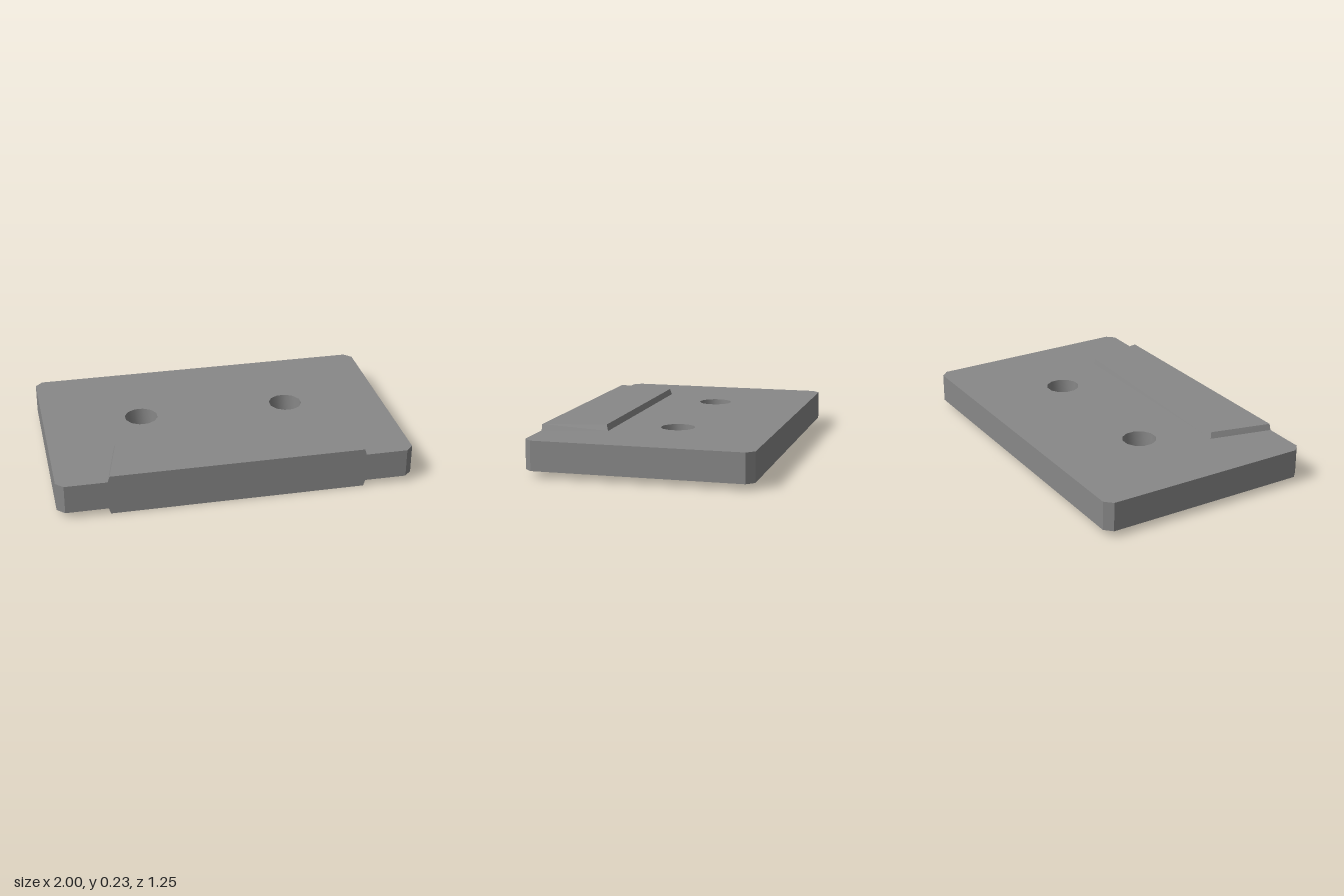
import * as THREE from 'three';
import { toCreasedNormals } from 'three/addons/utils/BufferGeometryUtils.js';
import { ConvexGeometry } from 'three/addons/geometries/ConvexGeometry.js';

const DEPTH = 0.623;      // half depth of the plate
const MID = 0.116;        // height of the symmetry plane
const HALF_PLATE = 0.082; // half thickness of the plate
const CHAMFER = 0.042;

export function createModel() {
  const group = new THREE.Group();
  const material = new THREE.MeshStandardMaterial({ color: 0x888888 });
  const add = (name, geometry) => {
    const mesh = new THREE.Mesh(geometry, material);
    mesh.name = name;
    group.add(mesh);
  };

  // Plate outline with clipped corners
  const a = 1 - CHAMFER, b = DEPTH - CHAMFER;
  const outline = new THREE.Shape([
    [a, -DEPTH], [1, -b], [1, b], [a, DEPTH],
    [-a, DEPTH], [-1, b], [-1, -b], [-a, -DEPTH],
  ].map(([x, y]) => new THREE.Vector2(x, y)));

  // Two twelve-sided through holes
  for (const side of [-1, 1]) {
    const points = [];
    for (let i = 0; i < 12; i++) {
      const t = -(i + 0.5) * Math.PI / 6;
      points.push(new THREE.Vector2(side * 0.432 + 0.096 * Math.cos(t), 0.07 + 0.096 * Math.sin(t)));
    }
    outline.holes.push(new THREE.Path(points));
  }
  const plate = new THREE.ExtrudeGeometry(outline, { depth: 2 * HALF_PLATE, bevelEnabled: false });
  plate.rotateX(-Math.PI / 2).translate(0, MID - HALF_PLATE, 0);
  // Hard clipped corners, smooth hole walls
  add('plate', toCreasedNormals(plate, Math.PI * 40 / 180));

  // Raised trapezoid pads with sloped sides, flush with the front edge
  for (const [name, dir] of [['upperPad', 1], ['lowerPad', -1]]) {
    const points = [];
    for (const x of [-1, 1]) {
      for (const [w, y, z] of [
        [0.722, HALF_PLATE, DEPTH], [0.641, HALF_PLATE, 0.268],
        [0.711, MID, DEPTH], [0.631, MID, 0.278],
      ]) points.push(new THREE.Vector3(x * w, MID + dir * y, z));
    }
    add(name, new ConvexGeometry(points));
  }
  return group;
}
